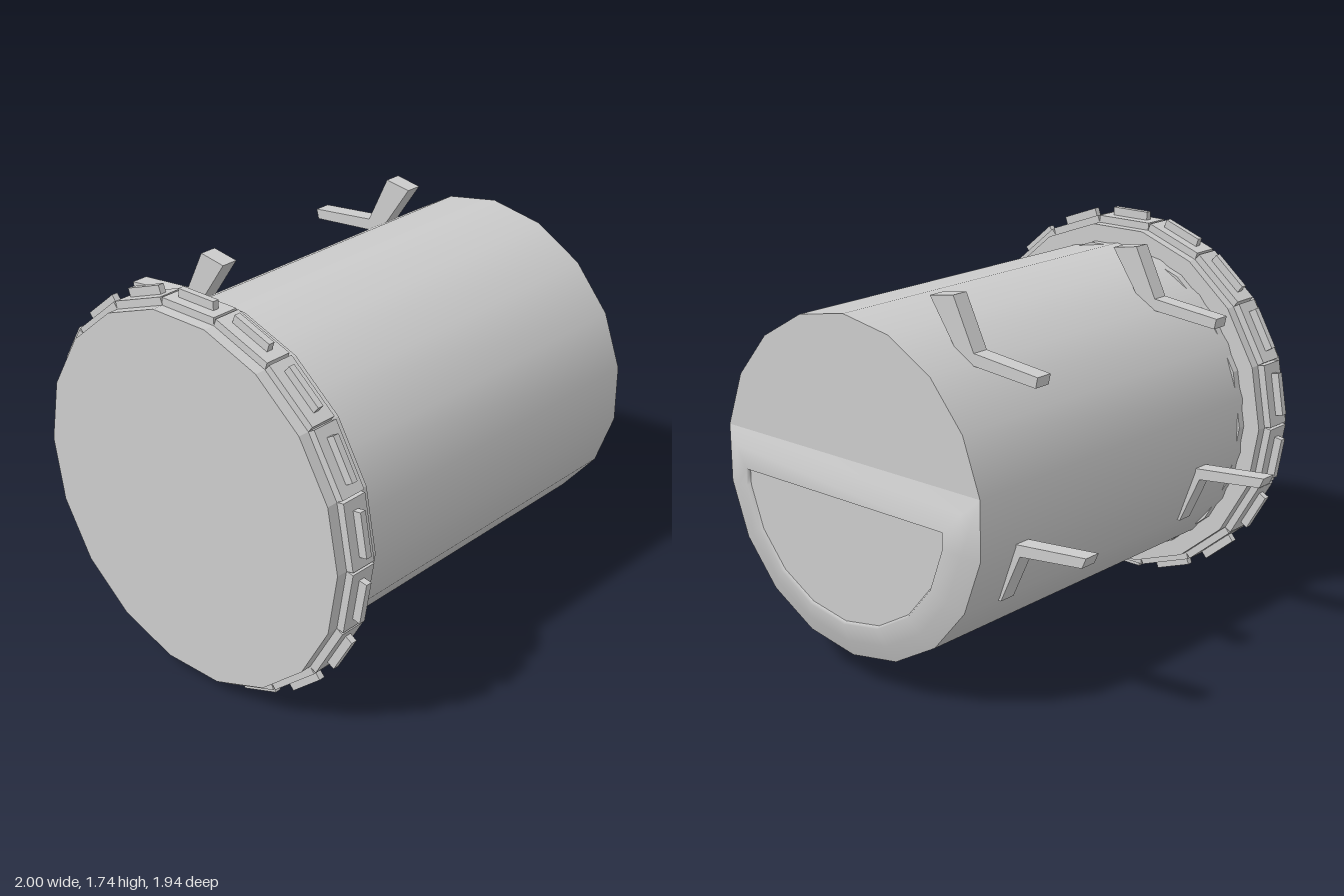
import * as THREE from 'three';

const SIDES = 18;
const STEP = (Math.PI * 2) / SIDES;
const CY = 0.87, CZ = 0.1; // drum axis, running along x

export function createModel() {
  const model = new THREE.Group();
  const smooth = new THREE.MeshStandardMaterial({ color: 0xcccccc });
  const flat = new THREE.MeshStandardMaterial({ color: 0xcccccc, flatShading: true });
  const rimMaterial = new THREE.MeshStandardMaterial({ color: 0xcccccc, side: THREE.DoubleSide });

  const drum = new THREE.Group();
  drum.name = 'drum';
  drum.position.set(0, CY, CZ);
  model.add(drum);

  const add = (parent, name, geometry, material) => {
    const mesh = new THREE.Mesh(geometry, material);
    mesh.name = name;
    parent.add(mesh);
    return mesh;
  };

  // Cylinder lying along x between two stations
  const barrel = (name, radius, x0, x1, phase, material) => {
    const g = new THREE.CylinderGeometry(radius, radius, x1 - x0, SIDES, 1, false, phase);
    g.rotateZ(-Math.PI / 2);
    g.translate((x0 + x1) / 2, 0, 0);
    return add(drum, name, g, material);
  };
  barrel('body', 0.73, -0.8, 0.95, STEP / 2, smooth);
  barrel('lidFlange', 0.812, -1, -0.785, 0, flat);
  barrel('lidInnerLip', 0.732, -0.79, -0.75, 0, flat);

  // Pads with raised ridges, one on each flat of the lid flange
  for (let i = 0; i < SIDES; i++) {
    const clamp = new THREE.Group();
    clamp.name = 'lidClamp';
    clamp.rotation.x = i * STEP;
    add(clamp, 'clampPad', new THREE.BoxGeometry(0.12, 0.04, 0.282), flat).position.set(-0.89, 0.813, 0);
    add(clamp, 'clampRidge', new THREE.BoxGeometry(0.028, 0.05, 0.19), flat).position.set(-0.892, 0.845, 0);
    drum.add(clamp);
  }

  // Half-round raised rim on the end: loops of [y, z] points, outer edge to inner wall
  const halfLoop = (radius, topY) => {
    const points = [];
    for (let i = 0; i <= 10; i++) {
      const a = STEP / 2 - i * STEP;
      const corner = i === 0 || i === 10;
      points.push([corner ? topY : Math.sin(a) * radius, Math.cos(a) * radius]);
    }
    return points;
  };
  const loops = [
    [0.95, halfLoop(0.73, 0.127)],
    [0.979, halfLoop(0.655, 0.055)],
    [1.0, halfLoop(0.575, -0.028)],
    [0.985, halfLoop(0.565, -0.036)],
  ];
  const positions = [], index = [], n = 11;
  loops.forEach(([x, loop]) => loop.forEach(([y, z]) => positions.push(x, y, z)));
  for (let l = 0; l < loops.length - 1; l++) {
    for (let i = 0; i < n; i++) {
      const a = l * n + i, b = l * n + ((i + 1) % n), c = a + n, d = b + n;
      index.push(a, c, b, b, c, d);
    }
  }
  const rim = new THREE.BufferGeometry();
  rim.setAttribute('position', new THREE.Float32BufferAttribute(positions, 3));
  rim.setIndex(index);
  rim.computeVertexNormals();
  // Make the rim face +x
  if (rim.attributes.normal.getX(n) < 0) {
    rim.setIndex(index.slice().reverse());
    rim.computeVertexNormals();
  }
  add(drum, 'endRim', rim, rimMaterial);

  // Flat panel inside the rim
  const panelShape = new THREE.Shape(loops[3][1].map(([y, z]) => new THREE.Vector2(-z, y)));
  const panel = new THREE.ShapeGeometry(panelShape);
  panel.rotateY(Math.PI / 2);
  panel.translate(0.985, 0, 0);
  add(drum, 'endPanel', panel, rimMaterial);

  // Bent brackets on the back, drawn as [z, y] outlines and extruded along x
  const bracket = (name, outline, x) => {
    const shape = new THREE.Shape(outline.map(([z, y]) => new THREE.Vector2(-z, y)));
    const g = new THREE.ExtrudeGeometry(shape, { depth: 0.076, bevelEnabled: false });
    g.rotateY(Math.PI / 2);
    g.translate(x, 0, 0);
    add(model, name, g, flat);
  };
  const upper = [[-0.145, 1.67], [-0.27, 1.69], [-0.375, 1.475], [-0.7, 1.44], [-0.69, 1.395], [-0.36, 1.425], [-0.31, 1.43]];
  const lower = [[-0.97, 0.79], [-0.95, 0.745], [-0.64, 0.71], [-0.54, 0.495], [-0.48, 0.5], [-0.6, 0.755]];
  bracket('upperBracket', upper, -0.52);
  bracket('upperBracket', upper, 0.637);
  bracket('lowerBracket', lower, -0.52);
  bracket('lowerBracket', lower, 0.67);

  return model;
}
